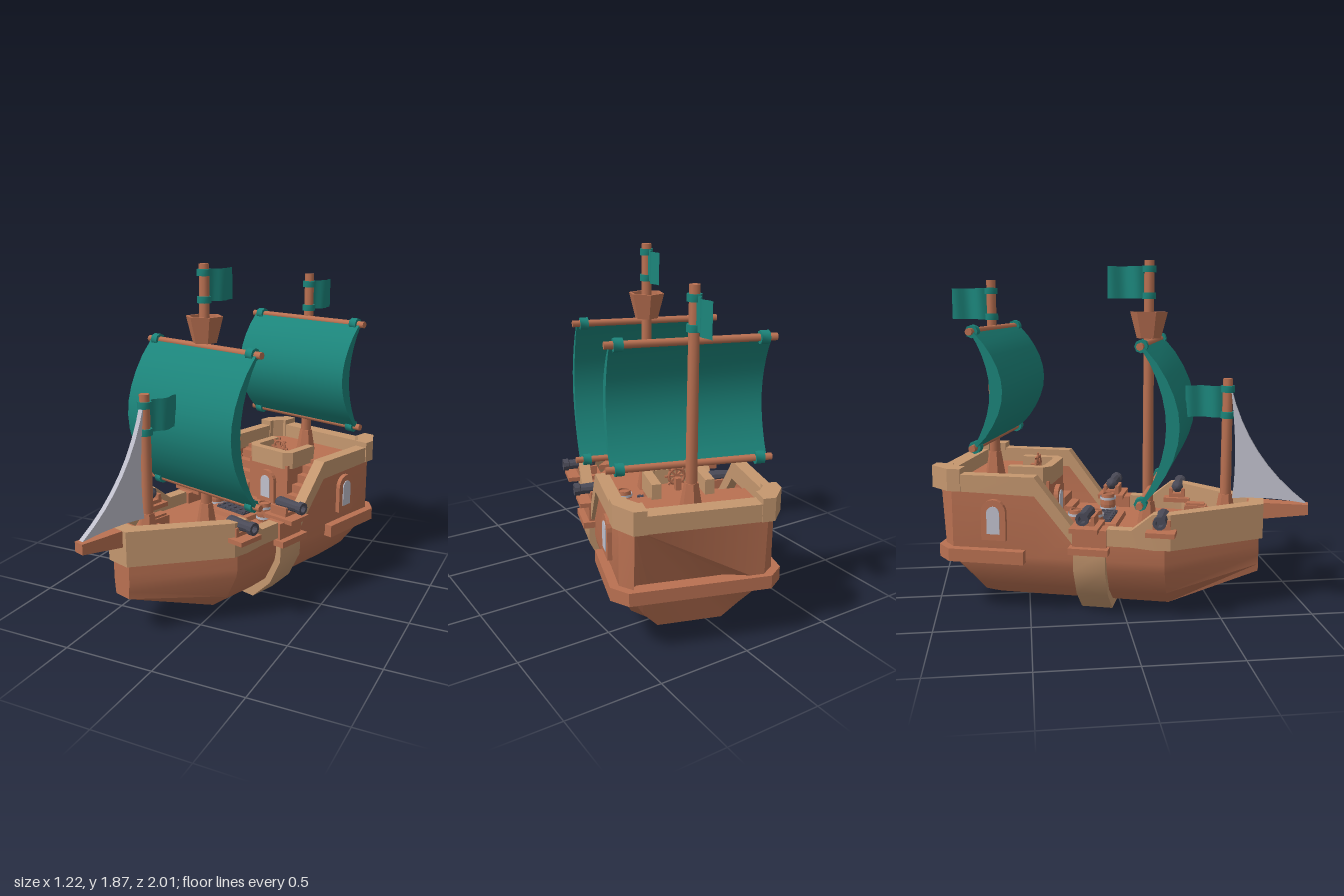
import * as THREE from 'three';
import { toCreasedNormals } from 'three/addons/utils/BufferGeometryUtils.js';

const mat = (name, color) => new THREE.MeshStandardMaterial({ name, color, side: THREE.DoubleSide });

export function createModel() {
  const wood = mat('wood', 0xba7152), trim = mat('paleWood', 0xc5976f), teal = mat('tealCloth', 0x1c857b);
  const iron = mat('iron', 0x4a4a57), pale = mat('paleGrey', 0xc0c0cc);
  const model = new THREE.Group(), ship = new THREE.Group();
  ship.name = 'ship';
  ship.rotation.y = -0.305;
  ship.position.set(-0.079, 0, -0.025);
  model.add(ship);

  const add = (name, geo, m, x = 0, y = 0, z = 0, parent = ship) => {
    const mesh = new THREE.Mesh(geo, m);
    mesh.name = name;
    mesh.position.set(x, y, z);
    parent.add(mesh);
    return mesh;
  };
  const box = (name, m, w, h, d, x, y, z, parent) => add(name, new THREE.BoxGeometry(w, h, d), m, x, y, z, parent);
  const cyl = (rt, rb, h, n = 8, open = false) => toCreasedNormals(new THREE.CylinderGeometry(rt, rb, h, n, 1, open), 0.9);

  // Skin over a row of cross-sections, capped at both ends
  const loft = (rings, closed = true, crease = 0.5) => {
    const n = rings[0].length, pos = rings.flat(2), idx = [];
    for (let i = 0; i < rings.length - 1; i++)
      for (let j = 0; j < (closed ? n : n - 1); j++) {
        const a = i * n + j, b = i * n + (j + 1) % n;
        idx.push(a, b, a + n, b, b + n, a + n);
      }
    const e = (rings.length - 1) * n;
    for (let j = 1; j < n - 1; j++) idx.push(0, j + 1, j, e, e + j, e + j + 1);
    const g = new THREE.BufferGeometry();
    g.setAttribute('position', new THREE.Float32BufferAttribute(pos, 3));
    g.setIndex(idx);
    return toCreasedNormals(g, crease);
  };
  // Wall following a plan path of [outerX, outerZ, innerX, innerZ, bottom, top]
  const wall = (pts) => loft(pts.map(([xo, zo, xi, zi, b, t]) => [[xo, b, zo], [xo, t, zo], [xi, t, zi], [xi, b, zi]]), true, 0.2);
  const mirrorPath = (half) => [...half.map(([a, z, b, ...r]) => [-a, z, -b, ...r]).reverse(), ...half];

  // Hull: half sections from rim to bottom, mirrored
  const section = (z, w, top) => [[w, top, z], [w, 0.32, z], [w - 0.01, 0.27, z], [w * 0.8, 0.14, z], [w * 0.51, 0.05, z]];
  const halves = [
    [[0.06, 0.44, 0.81], [0.06, 0.35, 0.81], [0.06, 0.3, 0.81], [0.055, 0.25, 0.81], [0.05, 0.21, 0.81]],
    section(0.34, 0.375, 0.44), section(-0.13, 0.38, 0.44), section(-0.34, 0.385, 0.68), section(-0.6, 0.385, 0.68),
    [[0.39, 0.68, -0.8], [0.39, 0.32, -0.8], [0.375, 0.27, -0.77], [0.3, 0.14, -0.68], [0.19, 0.05, -0.63]],
    [[0.33, 0.68, -0.88], [0.33, 0.32, -0.86], [0.32, 0.27, -0.82], [0.25, 0.14, -0.73], [0.17, 0.05, -0.7]],
  ];
  add('hull', loft(halves.map(h => [...h, ...h.map(([x, y, z]) => [-x, y, z]).reverse()]), false), wood);

  // Pale band wrapped under the hull
  const band = [[0.41, 0.38], [0.41, 0.27], [0.335, 0.12], [0.21, 0]];
  const bandPath = [...band, ...band.map(([x, y]) => [-x, y]).reverse()];
  add('hullBand', loft(bandPath.map(([x, y]) => {
    const xi = x - Math.sign(x) * 0.05, yi = y + 0.05;
    return [[x, y, 0.035], [x, y, -0.135], [xi, yi, -0.135], [xi, yi, 0.035]];
  })), trim);

  // Rails, stern corner posts and stern moulding
  add('bowRail', wall(mirrorPath([
    [0.07, 0.83, 0.03, 0.75, 0.4, 0.59], [0.385, 0.37, 0.325, 0.35, 0.4, 0.59], [0.392, 0.28, 0.33, 0.28, 0.4, 0.59],
    [0.395, 0.17, 0.33, 0.17, 0.41, 0.5], [0.395, 0.04, 0.33, 0.04, 0.41, 0.5]])), trim);
  add('sternRail', wall(mirrorPath([
    [0.34, -0.92, 0.3, -0.83, 0.67, 0.76], [0.415, -0.81, 0.345, -0.77, 0.67, 0.76],
    [0.41, -0.34, 0.34, -0.34, 0.66, 0.76], [0.4, -0.14, 0.33, -0.14, 0.41, 0.5]])), trim);
  add('sternMoulding', wall(mirrorPath([
    [0.36, -0.89, 0.31, -0.82, 0.29, 0.36], [0.435, -0.81, 0.36, -0.78, 0.29, 0.36], [0.43, -0.4, 0.36, -0.4, 0.29, 0.36]])), wood);
  for (const s of [-1, 1])
    add('cornerPost', wall([
      [0.28, -0.925, 0.28, -0.825, 0.67, 0.79], [0.345, -0.925, 0.3, -0.825, 0.67, 0.79],
      [0.42, -0.812, 0.34, -0.77, 0.67, 0.79], [0.42, -0.74, 0.34, -0.74, 0.67, 0.79]].map(([a, z, b, ...r]) => [a * s, z, b * s, ...r])), trim);

  // Decks
  const deck = (name, half, y) => {
    const pts = [...half, ...half.map(([x, z]) => [-x, z]).reverse()].map(([x, z]) => new THREE.Vector2(x, -z));
    const g = new THREE.ExtrudeGeometry(new THREE.Shape(pts), { depth: 0.03, bevelEnabled: false });
    add(name, g.rotateX(-Math.PI / 2), wood, 0, y - 0.03, 0);
  };
  deck('mainDeck', [[0.05, 0.79], [0.36, 0.36], [0.37, -0.6]], 0.43);
  deck('foreDeck', [[0.05, 0.78], [0.27, 0.47]], 0.49);
  deck('quarterDeck', [[0.38, -0.53], [0.38, -0.8], [0.32, -0.87]], 0.68);
  box('quarterDeckWall', wood, 0.74, 0.25, 0.03, 0, 0.55, -0.545);

  // Bowsprit
  const square = (w, b, t, z) => [[-w, b, z], [w, b, z], [w, t, z], [-w, t, z]];
  add('bowsprit', loft([square(0.05, 0.49, 0.59, 0.74), square(0.03, 0.53, 0.585, 1.064)]), wood);

  // Arched panels
  const arch = (w, h, depth) => {
    const s = new THREE.Shape();
    s.moveTo(-w / 2, 0);
    s.lineTo(w / 2, 0);
    s.lineTo(w / 2, h - w / 2);
    s.absarc(0, h - w / 2, w / 2, 0, Math.PI);
    s.lineTo(-w / 2, 0);
    return new THREE.ExtrudeGeometry(s, { depth, bevelEnabled: false, curveSegments: 5 });
  };
  const archPanel = (name, w, h, x, y, z, turn) => {
    const g = new THREE.Group();
    g.name = name;
    g.position.set(x, y, z);
    g.rotation.y = turn;
    add('frame', arch(w, h, 0.03), wood, 0, 0, 0, g);
    add('pane', arch(w * 0.52, h * 0.68, 0.005), pale, 0, h * 0.16, 0.03, g);
    ship.add(g);
  };
  for (const s of [-1, 1]) archPanel('sideWindow', 0.135, 0.22, s * 0.38, 0.41, -0.566, s * Math.PI / 2);

  // Cabin with door, balcony rail and steering wheel
  box('cabin', wood, 0.3, 0.25, 0.24, 0, 0.555, -0.45);
  archPanel('cabinDoor', 0.13, 0.2, 0, 0.43, -0.335, 0);
  add('balconyRail', wall(mirrorPath([[0.12, -0.32, 0.1, -0.37, 0.66, 0.76], [0.165, -0.36, 0.115, -0.385, 0.66, 0.76], [0.165, -0.56, 0.115, -0.56, 0.66, 0.76]])), trim);
  const wheel = new THREE.Group();
  wheel.name = 'steeringWheel';
  wheel.position.set(0, 0.745, -0.435);
  add('wheelRim', new THREE.TorusGeometry(0.042, 0.009, 6, 12), wood, 0, 0, 0, wheel);
  for (let i = 0; i < 4; i++) box('spoke', wood, 0.125, 0.01, 0.01, 0, 0, 0, wheel).rotation.z = i * Math.PI / 4;
  ship.add(wheel);
  box('wheelStand', wood, 0.03, 0.07, 0.03, 0, 0.71, -0.46);

  // Stairs on both sides of the cabin
  for (const s of [-1, 1])
    for (let i = 0; i < 5; i++) {
      const h = 0.05 * (i + 1) - 0.02;
      box('stair', wood, 0.18, h, 0.05, s * 0.245, 0.43 + h / 2, -0.3 - i * 0.048);
    }

  // Hatch
  add('hatchRim', cyl(0.2, 0.21, 0.03, 4).rotateY(Math.PI / 4), wood, 0, 0.44, -0.1);
  box('hatchGrate', iron, 0.21, 0.012, 0.21, 0, 0.457, -0.1);
  for (let i = -2; i <= 2; i++) {
    box('grateBar', iron, 0.012, 0.008, 0.21, i * 0.045, 0.466, -0.1);
    box('grateBar', iron, 0.21, 0.008, 0.012, 0, 0.466, -0.1 + i * 0.045);
  }

  // Foredeck steps
  for (const s of [-1, 1]) {
    box('foreStep', wood, 0.07, 0.05, 0.12, s * 0.13, 0.49, 0.45);
    box('foreStepTop', wood, 0.05, 0.015, 0.1, s * 0.13, 0.52, 0.45);
  }

  // Barrels
  const stave = [[0, 0], [0.036, 0], [0.046, 0.05], [0.037, 0.11], [0.03, 0.11], [0.03, 0.1], [0, 0.1]].map(p => new THREE.Vector2(...p));
  for (const [x, z] of [[-0.18, -0.17], [-0.174, -0.066], [0.198, -0.07]]) {
    add('barrel', toCreasedNormals(new THREE.LatheGeometry(stave, 10), 0.7), wood, x, 0.43, z);
    for (const y of [0.455, 0.515]) add('barrelHoop', cyl(0.047, 0.047, 0.015, 10, true), pale, x, y, z);
  }

  // Cannons on slabs, two on each side
  for (const s of [-1, 1])
    for (const z of [-0.07, 0.325]) {
      const g = new THREE.Group();
      g.name = 'cannon';
      g.position.set(s * 0.36, 0, z);
      g.rotation.y = s > 0 ? 0 : Math.PI;
      box('slab', wood, 0.2, 0.025, 0.15, 0, 0.5, 0, g);
      for (const k of [-1, 1]) box('carriageSide', wood, 0.11, 0.055, 0.02, -0.02, 0.535, k * 0.036, g);
      box('carriageBed', wood, 0.11, 0.025, 0.07, -0.02, 0.522, 0, g);
      const tube = [[0, -0.1], [0.015, -0.095], [0.034, -0.075], [0.034, -0.05], [0.027, 0.06], [0.035, 0.065], [0.035, 0.095], [0.02, 0.095], [0.02, 0.05], [0, 0.05]];
      const geo = new THREE.LatheGeometry(tube.map(p => new THREE.Vector2(...p)), 10).rotateZ(-Math.PI / 2);
      add('barrelTube', toCreasedNormals(geo, 0.6), iron, 0.025, 0.57, 0, g);
      ship.add(g);
    }
  for (const s of [-1, 1]) {
    box('cannonLedge', wood, 0.16, 0.035, 0.21, s * 0.365, 0.385, -0.05);
    box('cannonBlock', wood, 0.1, 0.1, 0.18, s * 0.36, 0.445, -0.05);
  }

  // Masts with bands and flags: z, foot, top, flag bottom
  const flagShape = () => {
    const g = new THREE.PlaneGeometry(0.2, 0.17, 10, 1).rotateY(Math.PI / 2).translate(0, 0.085, -0.125);
    const p = g.attributes.position;
    for (let i = 0; i < p.count; i++) p.setX(i, 0.014 * Math.sin((p.getZ(i) + 0.025) * 42));
    g.computeVertexNormals();
    return g;
  };
  for (const [name, z, foot, top, flagY] of [['foreMast', 0.623, 0.48, 1.25, 1.04], ['mainMast', 0.195, 0.42, 1.87, 1.67], ['mizzenMast', -0.688, 0.67, 1.77, 1.555]]) {
    add(name, cyl(0.027, 0.031, top - foot), wood, 0, (top + foot) / 2, z);
    add(name + 'Foot', cyl(0.036, 0.06, 0.14, 6), wood, 0, foot + 0.07, z);
    for (const y of [flagY + 0.015, flagY + 0.155]) add('mastBand', cyl(0.038, 0.038, 0.035), teal, 0, y, z);
    add(name + 'Flag', flagShape(), teal, 0, flagY, z);
  }
  const nest = [[0, 0], [0.066, 0], [0.102, 0.14], [0.085, 0.14], [0.06, 0.03], [0, 0.03]].map(p => new THREE.Vector2(...p));
  add('crowsNest', toCreasedNormals(new THREE.LatheGeometry(nest, 6), 0.3), wood, 0, 1.46, 0.195);

  // Square sails with yards
  const squareSail = (name, z, low, high, bulge) => {
    const g = new THREE.Group();
    g.name = name;
    g.position.z = z;
    const curve = (b, off) => Array.from({ length: 11 }, (_, i) => {
      const t = i / 10;
      return [off + b * Math.pow(Math.sin(Math.PI * t), 0.85), low + (high - low) * t];
    });
    const front = curve(bulge, 0.014), back = curve(bulge - 0.05, -0.004);
    const ring = x => [...front, ...back.reverse()].map(([d, y]) => new THREE.Vector2(-d, y));
    const geo = new THREE.ExtrudeGeometry(new THREE.Shape(ring()), { depth: 0.79, bevelEnabled: false });
    add('cloth', toCreasedNormals(geo.translate(0, 0, -0.395).rotateY(Math.PI / 2), 0.7), teal, 0, 0, 0, g);
    for (const y of [low, high]) {
      add('yard', cyl(0.019, 0.019, 0.84).rotateZ(Math.PI / 2), wood, 0, y, 0, g);
      for (const s of [-1, 1]) add('yardBand', cyl(0.034, 0.034, 0.045).rotateZ(Math.PI / 2), teal, s * 0.355, y, 0, g);
    }
    ship.add(g);
  };
  squareSail('mainSail', 0.212, 0.635, 1.44, 0.185);
  squareSail('mizzenSail', -0.668, 0.9, 1.505, 0.15);

  // Jib with hollow edges
  const jib = new THREE.Shape();
  jib.moveTo(-0.64, 1.21);
  jib.quadraticCurveTo(-0.74, 0.82, -1.05, 0.59);
  jib.quadraticCurveTo(-0.85, 0.62, -0.66, 0.6);
  jib.quadraticCurveTo(-0.69, 0.85, -0.64, 1.21);
  const jibGeo = new THREE.ExtrudeGeometry(jib, { depth: 0.03, bevelEnabled: false, curveSegments: 8 });
  add('jib', toCreasedNormals(jibGeo.translate(0, 0, -0.015).rotateY(Math.PI / 2), 0.5), pale);

  return model;
}
